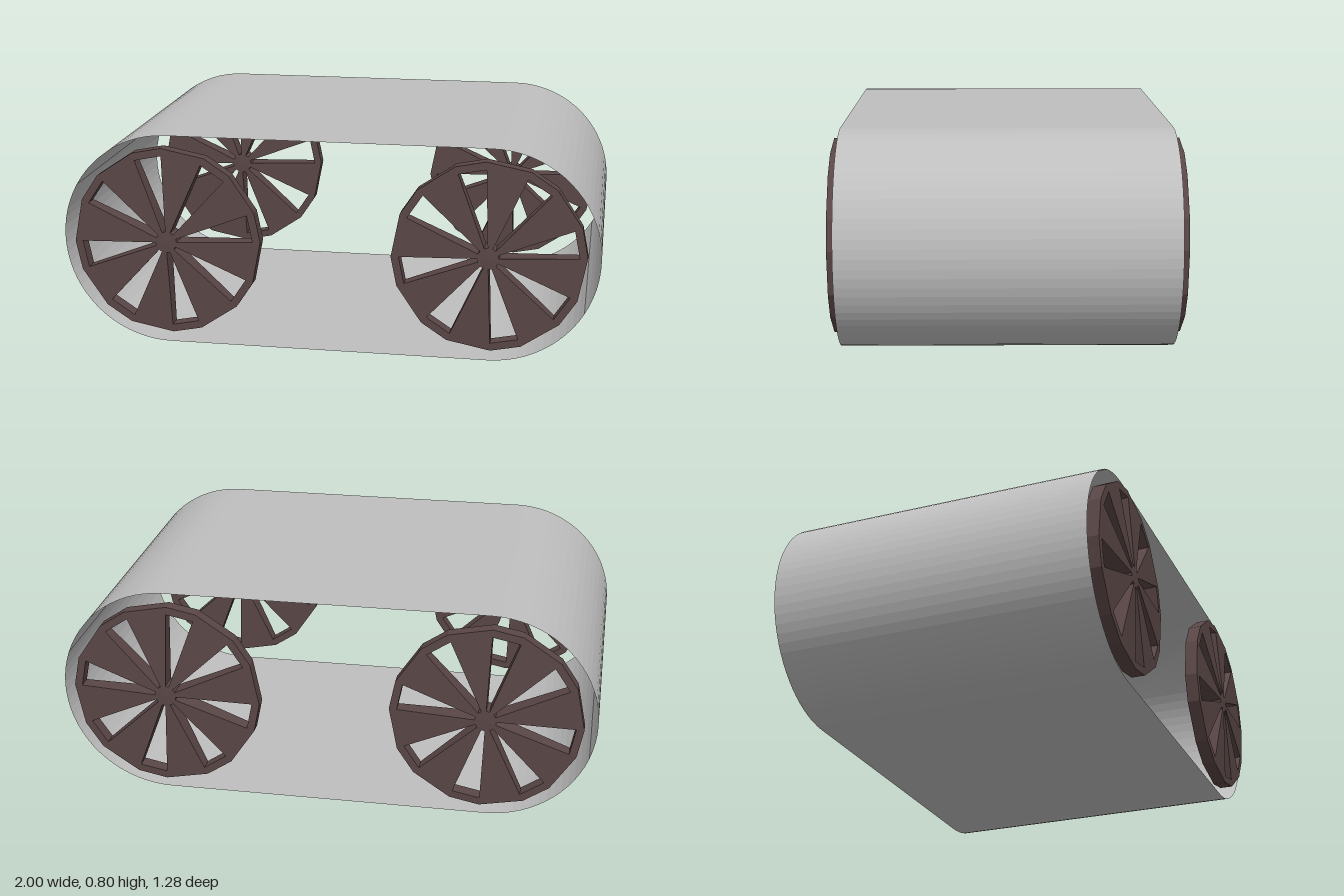
import * as THREE from 'three';

const shellGrey = new THREE.MeshStandardMaterial({ color: 0xbebebe, side: THREE.DoubleSide });
shellGrey.name = 'shell grey';
const wheelBrown = new THREE.MeshStandardMaterial({ color: 0x5a4646 });
wheelBrown.name = 'wheel brown';

// Faceted geometry from a list of quads, corners counter-clockwise from outside
function quadGeometry(quads) {
  const pos = [];
  for (const [a, b, c, d] of quads) for (const p of [a, b, c, a, c, d]) pos.push(...p);
  const g = new THREE.BufferGeometry();
  g.setAttribute('position', new THREE.Float32BufferAttribute(pos, 3));
  g.computeVertexNormals();
  return g;
}

// Open, thin band with a stadium section, running along z
function bandGeometry(halfSpan, radius, halfDepth, segments) {
  const outline = [];
  for (const side of [1, -1]) {
    for (let i = 0; i <= segments; i++) {
      const a = -Math.PI / 2 + (Math.PI * i) / segments;
      outline.push([side * (halfSpan + radius * Math.cos(a)), side * radius * Math.sin(a)]);
    }
  }
  return quadGeometry(outline.map(([x, y], i) => {
    const [u, v] = outline[(i + 1) % outline.length];
    return [[x, y, halfDepth], [x, y, -halfDepth], [u, v, -halfDepth], [u, v, halfDepth]];
  }));
}

// Lens-shaped wheel with wedge spokes and eight through windows
function wheelGeometry() {
  const radii = [0, 0.04, 0.326, 0.355];
  const spokes = 8, start = 2.3, gap = 18.2, pitch = 360 / spokes;
  const angles = [];
  for (let k = 0; k < spokes; k++) angles.push(start + k * pitch, start + gap + k * pitch);

  const point = (ring, i, side) => {
    const r = radii[ring], a = THREE.MathUtils.degToRad(angles[i % angles.length]);
    return [r * Math.cos(a), r * Math.sin(a), side * (0.04 - 0.015 * r / radii[3])];
  };
  const quads = [];
  for (let i = 0; i < angles.length; i++) {
    const j = i + 1, isWindow = i % 2 === 0;
    // front and back faces
    for (let ring = 0; ring < 3; ring++) {
      if (isWindow && ring === 1) continue;
      quads.push([point(ring, i, 1), point(ring + 1, i, 1), point(ring + 1, j, 1), point(ring, j, 1)]);
      quads.push([point(ring, j, -1), point(ring + 1, j, -1), point(ring + 1, i, -1), point(ring, i, -1)]);
    }
    // outer tread
    quads.push([point(3, i, 1), point(3, i, -1), point(3, j, -1), point(3, j, 1)]);
    // four walls of a window
    if (isWindow) {
      quads.push([point(2, j, 1), point(2, j, -1), point(2, i, -1), point(2, i, 1)]);
      quads.push([point(1, i, 1), point(1, i, -1), point(1, j, -1), point(1, j, 1)]);
      quads.push([point(2, i, 1), point(2, i, -1), point(1, i, -1), point(1, i, 1)]);
      quads.push([point(1, j, 1), point(1, j, -1), point(2, j, -1), point(2, j, 1)]);
    }
  }
  return quadGeometry(quads);
}

export function createModel() {
  const model = new THREE.Group();
  model.name = 'trackUnit';

  const band = new THREE.Mesh(bandGeometry(0.6, 0.4, 0.6, 36), shellGrey);
  band.name = 'trackBand';
  band.position.y = 0.4;
  model.add(band);

  const geometry = wheelGeometry();
  for (const z of [0.6, -0.6]) {
    for (const x of [0.6, -0.6]) {
      const wheel = new THREE.Mesh(geometry, wheelBrown);
      wheel.name = `${z > 0 ? 'front' : 'back'}${x > 0 ? 'Left' : 'Right'}Wheel`;
      wheel.position.set(x * 0.995, 0.403, z);
      model.add(wheel);
    }
  }
  return model;
}
